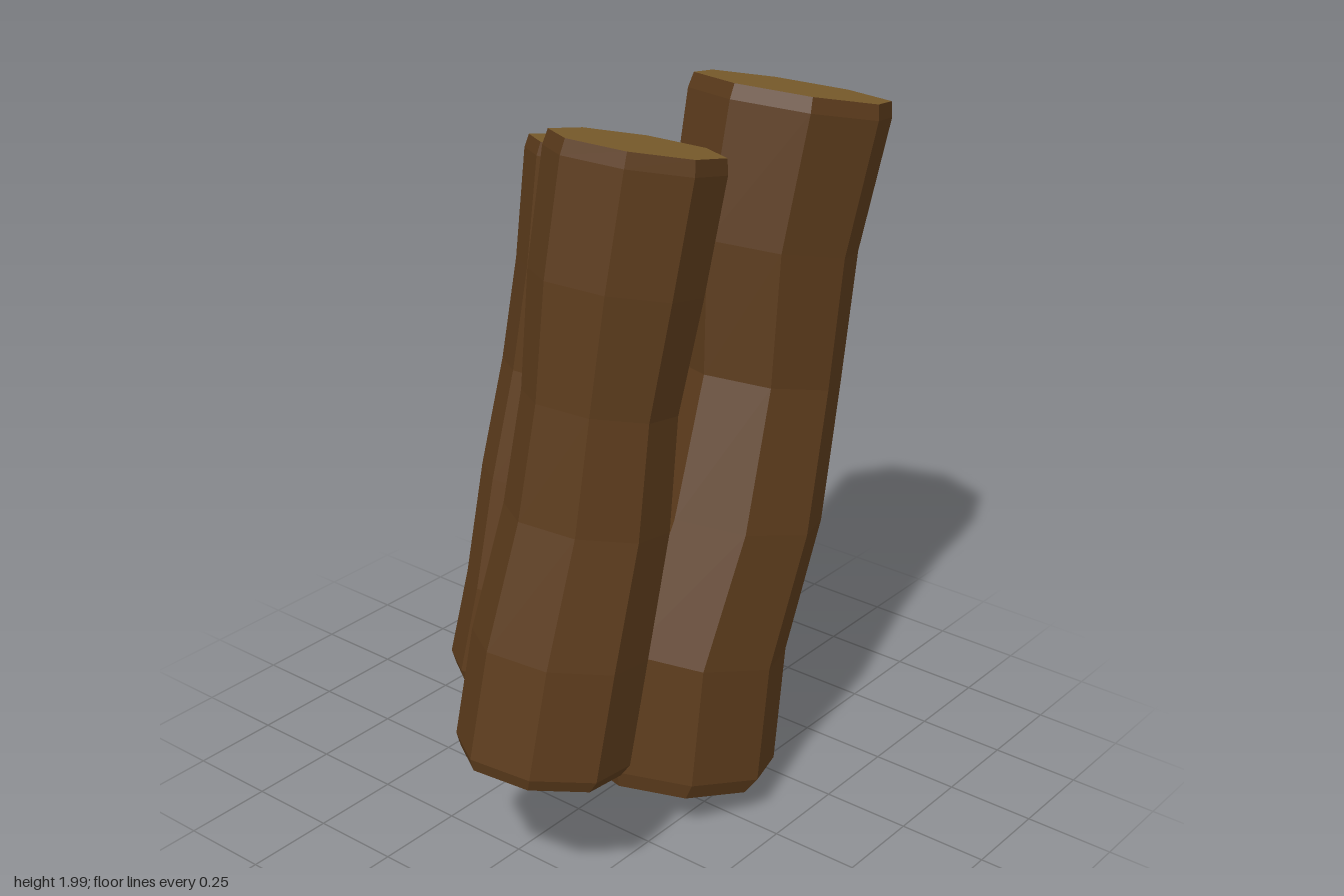
import * as THREE from 'three';

const SIDES = 8;
const LEAN = Math.atan(0.25); // logs lean towards +x

const bark = new THREE.MeshStandardMaterial({ color: 0x5a3a1b, flatShading: true });
const cutWood = new THREE.MeshStandardMaterial({ color: 0x7a5c2c, flatShading: true });

// One octagonal ring, square to the leaning log; tilt slopes it along z
function ring([x, y, z, r], turn, tilt = 0) {
  return Array.from({ length: SIDES }, (_, i) => {
    const a = turn + (i / SIDES) * Math.PI * 2;
    const u = r * Math.cos(a), v = r * Math.sin(a);
    return [x + u * Math.cos(LEAN), y - u * Math.sin(LEAN) + v * tilt, z + v];
  });
}

function mesh(name, triangles, material) {
  const geometry = new THREE.BufferGeometry();
  geometry.setAttribute('position', new THREE.Float32BufferAttribute(triangles.flat(), 3));
  geometry.computeVertexNormals();
  const m = new THREE.Mesh(geometry, material);
  m.name = name;
  return m;
}

// Flat cut end: a fan around the ring's centre
function cutEnd(name, points, center, up) {
  const triangles = [];
  points.forEach((p, i) => {
    const q = points[(i + 1) % SIDES];
    triangles.push(center, ...(up ? [q, p] : [p, q]));
  });
  return mesh(name, triangles, cutWood);
}

// Log from cross-sections [x, y, z, radius], listed from top to bottom
function makeLog(name, turnDegrees, sections, bottomTilt = 0) {
  const turn = THREE.MathUtils.degToRad(turnDegrees);
  const last = sections.length - 1;
  const rings = sections.map((s, i) => ring(s, turn, i >= last - 1 ? bottomTilt : 0));
  const sides = [];
  for (let k = 0; k < last; k++) {
    for (let i = 0; i < SIDES; i++) {
      const j = (i + 1) % SIDES;
      const [a, b, c, d] = [rings[k][i], rings[k][j], rings[k + 1][j], rings[k + 1][i]];
      sides.push(a, b, c, a, c, d);
    }
  }
  const log = new THREE.Group();
  log.name = name;
  log.add(
    mesh('bark', sides, bark),
    cutEnd('topCut', rings[0], sections[0].slice(0, 3), true),
    cutEnd('bottomCut', rings[last], sections[last].slice(0, 3), false),
  );
  return log;
}

export function createModel() {
  const group = new THREE.Group();
  group.name = 'logPile';

  group.add(makeLog('leftLog', 0, [
    [0.5, 1.935, 0.13, 0.268],
    [0.49, 1.895, 0.13, 0.277],
    [0.4, 1.54, 0.12, 0.26],
    [0.355, 1.18, 0.135, 0.24],
    [0.225, 0.81, 0.155, 0.257],
    [0.075, 0.46, 0.132, 0.275],
    [0.03, 0.11, 0.132, 0.277],
    [0.01, 0.07, 0.132, 0.25],
  ], 0.08));

  group.add(makeLog('rightLog', 13, [
    [-0.15, 1.935, 0.13, 0.222],
    [-0.16, 1.895, 0.13, 0.23],
    [-0.235, 1.6, 0.13, 0.222],
    [-0.3, 1.3, 0.13, 0.2],
    [-0.355, 1.0, 0.13, 0.215],
    [-0.465, 0.68, 0.13, 0.23],
    [-0.538, 0.4, 0.13, 0.23],
    [-0.548, 0.37, 0.13, 0.212],
  ]));

  group.add(makeLog('backLog', 15, [
    [0.113, 1.8, -0.2, 0.2],
    [0.105, 1.765, -0.2, 0.207],
    [0.04, 1.48, -0.198, 0.193],
    [-0.005, 1.2, -0.213, 0.195],
    [-0.1, 0.92, -0.2, 0.203],
    [-0.205, 0.64, -0.18, 0.195],
    [-0.245, 0.4, -0.197, 0.207],
    [-0.253, 0.37, -0.197, 0.19],
  ]));

  return group;
}
